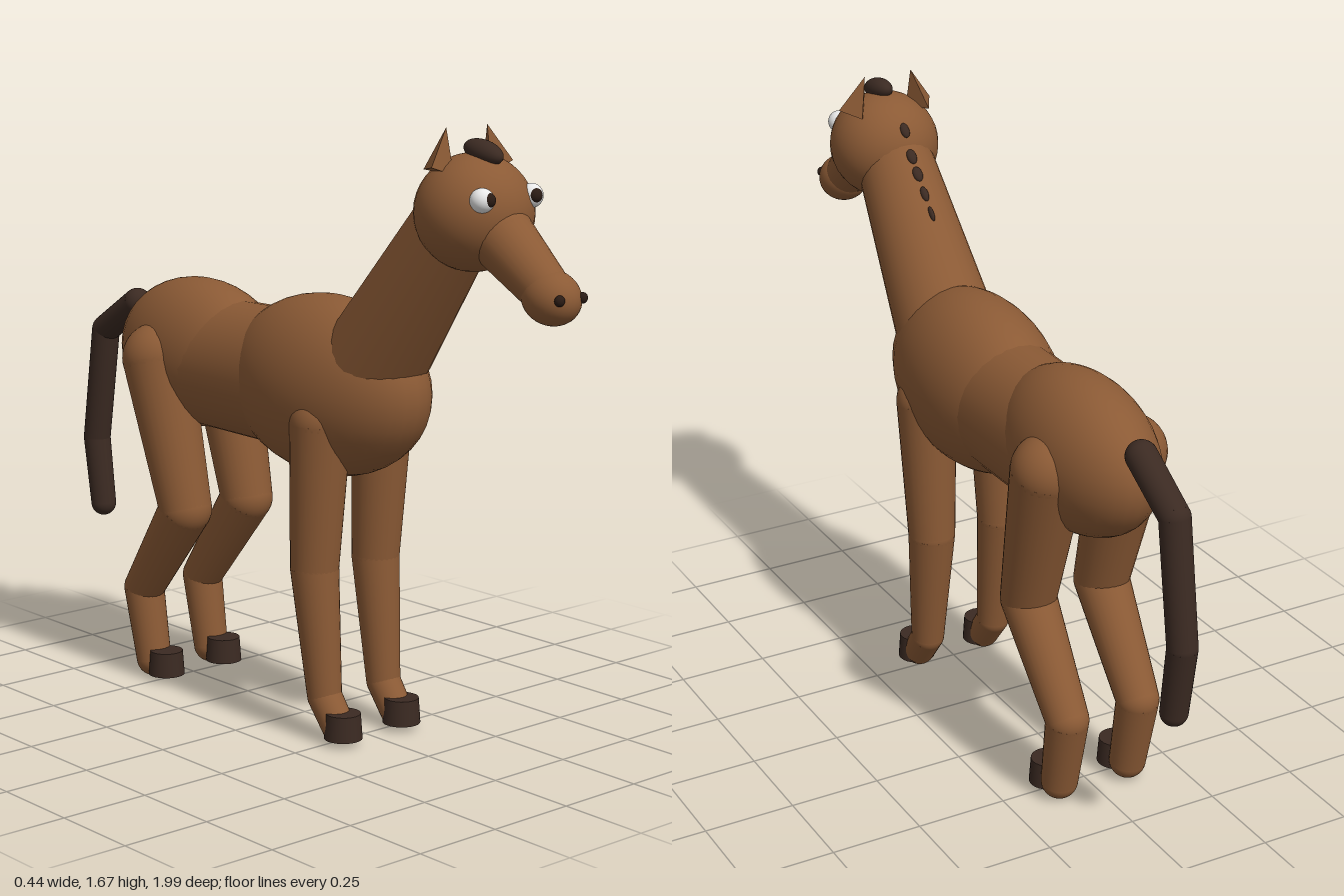
import * as THREE from 'three';

const coat = new THREE.MeshStandardMaterial({ color: 0x8b5a35 });
coat.name = 'brown coat';
const dark = new THREE.MeshStandardMaterial({ color: 0x3b2a22 });
dark.name = 'dark hair and hooves';
const white = new THREE.MeshStandardMaterial({ color: 0xf2f2f2 });
white.name = 'eye white';
const black = new THREE.MeshStandardMaterial({ color: 0x2a1b14 });
black.name = 'pupil';

const V = (x, y, z) => new THREE.Vector3(x, y, z);
const UP = V(0, 1, 0);

function add(parent, name, geometry, material, position) {
  const mesh = new THREE.Mesh(geometry, material);
  mesh.name = name;
  mesh.position.copy(position);
  parent.add(mesh);
  return mesh;
}

function ellipsoid(parent, name, material, position, rx, ry, rz, tilt = 0) {
  const mesh = add(parent, name, new THREE.SphereGeometry(1, 32, 20), material, position);
  mesh.scale.set(rx, ry, rz);
  mesh.rotation.x = tilt;
  return mesh;
}

// Tapered cylinder between two points
function taper(parent, name, material, a, b, ra, rb) {
  const dir = b.clone().sub(a);
  const geometry = new THREE.CylinderGeometry(rb, ra, dir.length(), 28);
  const mesh = add(parent, name, geometry, material, a.clone().add(b).multiplyScalar(0.5));
  mesh.quaternion.setFromUnitVectors(UP, dir.normalize());
  return mesh;
}

// Chain of tapered segments with round joints; each joint is [x, y, z, radius]
function chain(parent, name, material, joints) {
  const group = new THREE.Group();
  group.name = name;
  parent.add(group);
  joints.forEach(([x, y, z, r], i) => {
    ellipsoid(group, name + 'Joint', material, V(x, y, z), r, r, r);
    if (i === 0) return;
    const [px, py, pz, pr] = joints[i - 1];
    taper(group, name + 'Segment', material, V(px, py, pz), V(x, y, z), pr, r);
  });
  return group;
}

export function createModel() {
  const model = new THREE.Group();
  model.name = 'horse';

  // Body
  ellipsoid(model, 'chest', coat, V(0, 0.945, 0.1), 0.19, 0.245, 0.35);
  ellipsoid(model, 'hindquarters', coat, V(0, 0.96, -0.45), 0.167, 0.212, 0.305);
  const barrel = taper(model, 'barrel', coat, V(0, 0.94, -0.4), V(0, 0.94, 0.02), 0.185, 0.19);
  barrel.scale.x = 0.85;

  // Neck and head
  taper(model, 'neck', coat, V(0, 1.01, 0.26), V(0, 1.48, 0.62), 0.143, 0.103);
  ellipsoid(model, 'head', coat, V(0, 1.46, 0.645), 0.153, 0.149, 0.152);
  chain(model, 'muzzle', coat, [[0, 1.405, 0.745, 0.083], [0, 1.29, 0.9, 0.062]]);
  ellipsoid(model, 'nose', coat, V(0, 1.277, 0.915), 0.071, 0.068, 0.08, 0.3);

  // Forelock and the tufts along the neck
  ellipsoid(model, 'forelock', dark, V(0, 1.612, 0.675), 0.032, 0.03, 0.064, 0.2);
  [[0.36, 0.007], [0.4, 0.011], [0.44, 0.014], [0.475, 0.014], [0.515, 0.013]].forEach(([z, r]) => {
    const y = z < 0.49 ? 1.18 + (z - 0.22) * 1.14 : 1.535;
    ellipsoid(model, 'maneTuft', dark, V(0, y, z), r, 0.01, 0.022, -0.85);
  });

  for (const s of [1, -1]) {
    // Face
    ellipsoid(model, 'eye', white, V(s * 0.085, 1.505, 0.758), 0.031, 0.031, 0.031);
    ellipsoid(model, 'pupil', black, V(s * 0.081, 1.507, 0.776), 0.019, 0.019, 0.018);
    ellipsoid(model, 'nostril', black, V(s * 0.04, 1.28, 0.981), 0.014, 0.014, 0.012);

    // Three-sided ears leaning inward
    const earGeometry = new THREE.ConeGeometry(0.046, 0.11, 3).toNonIndexed();
    earGeometry.rotateY(Math.PI);
    earGeometry.computeVertexNormals();
    const ear = add(model, 'ear', earGeometry, coat, V(s * 0.087, 1.62, 0.615));
    ear.rotation.z = s * 0.3;

    // Legs
    chain(model, 'frontLeg', coat, [
      [s * 0.11, 0.87, 0.19, 0.083],
      [s * 0.11, 0.47, 0.167, 0.066],
      [s * 0.107, 0.12, 0.205, 0.047],
      [s * 0.106, 0.047, 0.26, 0.045],
    ]);
    chain(model, 'hindLeg', coat, [
      [s * 0.12, 0.95, -0.5, 0.099],
      [s * 0.112, 0.53, -0.387, 0.075],
      [s * 0.108, 0.26, -0.59, 0.058],
      [s * 0.106, 0.052, -0.55, 0.05],
    ]);

    // Hooves
    for (const z of [0.28, -0.49]) {
      const hoof = new THREE.CylinderGeometry(0.047, 0.052, 0.07, 24);
      add(model, 'hoof', hoof, dark, V(s * 0.106, 0.055, z));
    }
  }

  // Tail
  chain(model, 'tail', dark, [
    [0, 1.065, -0.748, 0.042],
    [0, 0.967, -0.905, 0.041],
    [0, 0.63, -0.958, 0.04],
    [0, 0.432, -0.93, 0.037],
  ]);

  return model;
}
